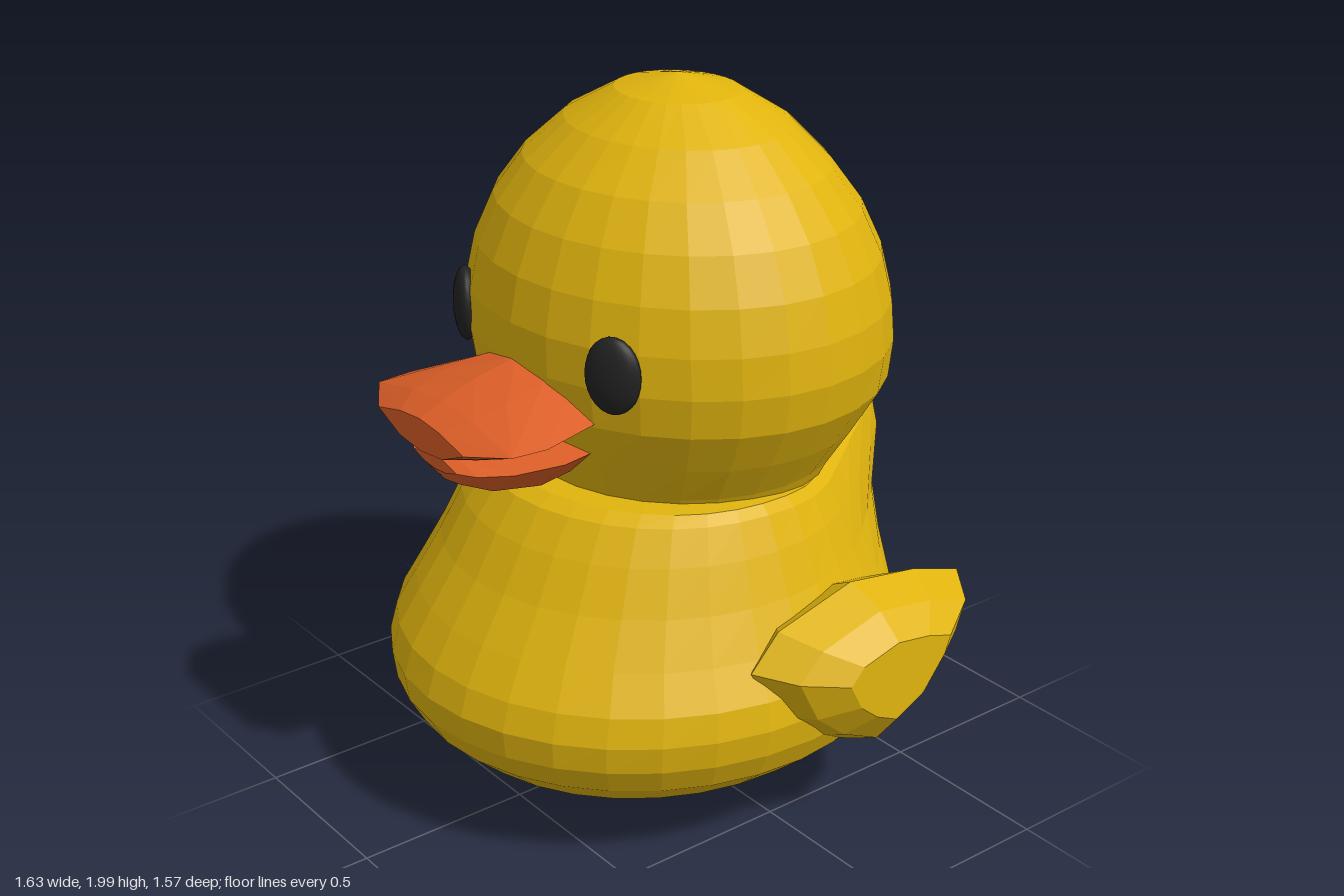
import * as THREE from 'three';
import { ConvexGeometry } from 'three/addons/geometries/ConvexGeometry.js';

const paint = (name, color) => Object.assign(new THREE.MeshStandardMaterial({ color }), { name });

// Faceted shell from stacked rings: [y, half width, front z, back z, tail push, tail lift]
function loft(rings, zc, n) {
  const pos = [], idx = [];
  for (const [y, w, front, back, push = 0, lift = 0] of rings) {
    for (let j = 0; j < n; j++) {
      const a = (j / n) * Math.PI * 2, c = Math.cos(a);
      const fromBack = Math.abs(a - Math.PI);
      const tail = Math.exp(-((fromBack / 0.5) ** 2));
      const dip = Math.exp(-(((fromBack - 1) / 0.4) ** 2));
      const z = zc + c * (c > 0 ? front - zc : zc - back) - push * tail;
      pos.push(w * Math.sin(a), y + lift * (tail - dip), z);
    }
  }
  for (let i = 0; i < rings.length - 1; i++) {
    for (let j = 0; j < n; j++) {
      const a = i * n + j, b = i * n + ((j + 1) % n);
      idx.push(a, b, b + n, a, b + n, a + n);
    }
  }
  const g = new THREE.BufferGeometry();
  g.setAttribute('position', new THREE.Float32BufferAttribute(pos, 3));
  g.setIndex(idx);
  const flat = g.toNonIndexed();
  flat.computeVertexNormals();
  return flat;
}

// Lens-shaped cross-sections along z: [z, half width, top, edge y, bottom]
function bill(sections) {
  const pts = [];
  for (const [z, w, top, mid, bottom] of sections) {
    for (const s of [-1, 1]) {
      pts.push(new THREE.Vector3(s * w, mid, z));
      pts.push(new THREE.Vector3(s * w * 0.45, mid + (top - mid) * 0.75, z));
      pts.push(new THREE.Vector3(s * w * 0.5, mid + (bottom - mid) * 0.8, z));
    }
    pts.push(new THREE.Vector3(0, top, z), new THREE.Vector3(0, bottom, z));
  }
  return new ConvexGeometry(pts);
}

// Wing: one outline [z, y] repeated at several [x, scale] layers
function wing(side) {
  const outline = [[0.2, 0.585], [0.11, 0.68], [-0.14, 0.745], [-0.37, 0.71], [-0.54, 0.655],
    [-0.5, 0.55], [-0.35, 0.36], [-0.15, 0.26], [0, 0.33], [0.12, 0.43]];
  const layers = [[0.52, 0.7], [0.64, 1], [0.75, 0.8], [0.815, 0.48]];
  const pts = [];
  for (const [x, k] of layers) {
    for (const [z, y] of outline) {
      pts.push(new THREE.Vector3(side * x, 0.53 + (y - 0.53) * k, -0.17 + (z + 0.17) * k));
    }
  }
  return new ConvexGeometry(pts);
}

export function createModel() {
  const model = new THREE.Group();
  model.name = 'toyDuck';
  const yellow = paint('yellow', 0xe0b40e);
  const orange = paint('orange', 0xd95d27);
  const black = paint('black', 0x222222);
  const add = (name, geometry, material) => {
    const mesh = new THREE.Mesh(geometry, material);
    mesh.name = name;
    model.add(mesh);
    return mesh;
  };

  // Body with the tail swelling out of its back
  add('body', loft([
    [0.01, 0, 0.02, 0.02],
    [0.01, 0.2, 0.25, -0.2],
    [0.03, 0.28, 0.34, -0.27],
    [0.1, 0.43, 0.5, -0.43],
    [0.18, 0.55, 0.63, -0.54],
    [0.27, 0.655, 0.73, -0.62, 0.02],
    [0.35, 0.695, 0.775, -0.66, 0.05],
    [0.43, 0.708, 0.785, -0.66, 0.06],
    [0.51, 0.695, 0.76, -0.63, 0.09],
    [0.61, 0.64, 0.7, -0.59, 0.14],
    [0.73, 0.585, 0.62, -0.54, 0.2],
    [0.85, 0.54, 0.55, -0.5, 0.28, 0.01],
    [0.94, 0.5, 0.485, -0.47, 0.29, 0.025],
    [0.965, 0.475, 0.44, -0.44, 0.24, 0.025],
    [0.97, 0.36, 0.32, -0.36, 0.12, 0.02],
    [0.95, 0, -0.06, -0.06],
  ], 0.03, 32), yellow);

  // Head, running down into the neck
  add('head', loft([
    [0.86, 0.4, 0.32, -0.42],
    [0.98, 0.46, 0.375, -0.49],
    [1.09, 0.535, 0.42, -0.54],
    [1.21, 0.605, 0.47, -0.615],
    [1.32, 0.625, 0.485, -0.615],
    [1.43, 0.617, 0.485, -0.605],
    [1.55, 0.588, 0.46, -0.575],
    [1.67, 0.53, 0.41, -0.52],
    [1.78, 0.443, 0.335, -0.44],
    [1.88, 0.33, 0.225, -0.345],
    [1.96, 0.18, 0.1, -0.22],
    [2, 0, -0.06, -0.06],
  ], -0.06, 28), yellow);

  // Bill
  add('upperBill', bill([
    [0.36, 0.25, 1.335, 1.22, 1.14],
    [0.47, 0.275, 1.335, 1.22, 1.14],
    [0.6, 0.32, 1.305, 1.22, 1.14],
    [0.7, 0.31, 1.27, 1.22, 1.145],
    [0.77, 0.2, 1.24, 1.205, 1.15],
  ]), orange);
  add('lowerBill', bill([
    [0.34, 0.2, 1.14, 1.11, 1.0],
    [0.48, 0.225, 1.14, 1.11, 0.985],
    [0.62, 0.2, 1.14, 1.11, 1.01],
    [0.7, 0.15, 1.14, 1.11, 1.05],
    [0.73, 0.1, 1.13, 1.11, 1.09],
  ]), orange);

  // Wings and eyes, mirrored
  for (const side of [1, -1]) {
    const label = side > 0 ? 'left' : 'right';
    add(label + 'Wing', wing(side), yellow);
    const eye = add(label + 'Eye', new THREE.SphereGeometry(1, 20, 14), black);
    eye.scale.set(0.077, 0.104, 0.035);
    eye.position.set(side * 0.33, 1.37, 0.405);
    eye.rotation.y = side * 0.5;
  }
  return model;
}
